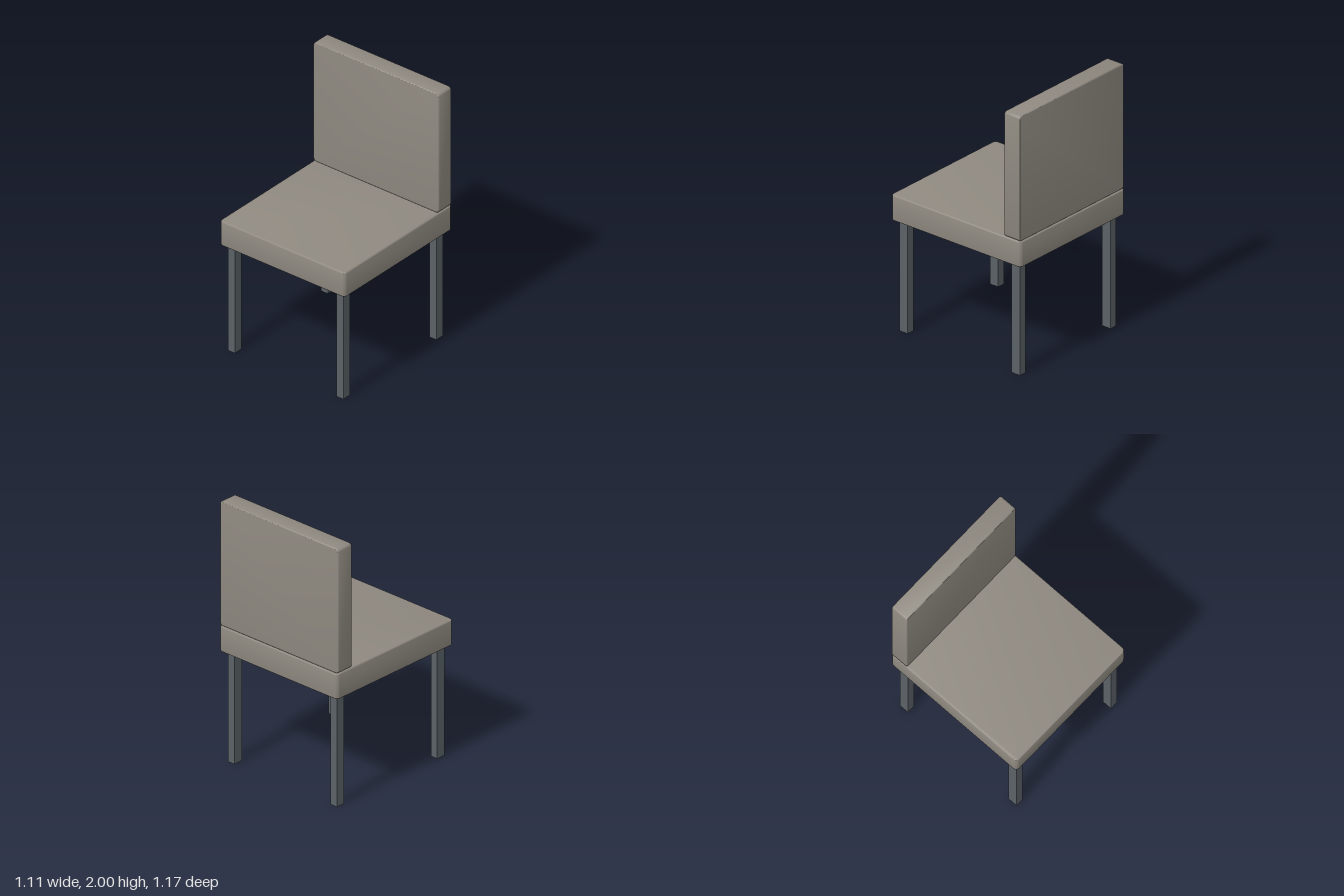
import * as THREE from 'three';
import { toCreasedNormals } from 'three/addons/utils/BufferGeometryUtils.js';

// Padded slab: rounded rectangle outline (w x h) with softened edges, thickness d along z
function slab(w, h, d, radius, bevel) {
  const x = w / 2 - radius, y = h / 2 - radius, r = radius - bevel;
  const shape = new THREE.Shape();
  [[x, y], [-x, y], [-x, -y], [x, -y]].forEach(([cx, cy], i) => {
    shape.absarc(cx, cy, r, i * Math.PI / 2, (i + 1) * Math.PI / 2, false);
  });
  shape.closePath();
  const geometry = new THREE.ExtrudeGeometry(shape, {
    depth: d - 2 * bevel, bevelThickness: bevel, bevelSize: bevel,
    bevelSegments: 3, curveSegments: 6,
  });
  geometry.center();
  return toCreasedNormals(geometry, 0.7);
}

export function createModel() {
  const chair = new THREE.Group();
  chair.name = 'chair';

  const upholstery = new THREE.MeshStandardMaterial({ color: 0x8f8980 });
  upholstery.name = 'taupe upholstery';
  const metal = new THREE.MeshStandardMaterial({ color: 0x5a6166 });
  metal.name = 'dark grey metal';

  const add = (name, geometry, material, x, y, z) => {
    const mesh = new THREE.Mesh(geometry, material);
    mesh.name = name;
    mesh.position.set(x, y, z);
    chair.add(mesh);
  };

  // Seat cushion, laid flat
  const seat = slab(1.11, 1.17, 0.195, 0.03, 0.01).rotateX(-Math.PI / 2);
  add('seat', seat, upholstery, 0, 0.9475, 0);

  // Upright back cushion, resting on the seat
  add('backrest', slab(1.11, 0.955, 0.14, 0.025, 0.008), upholstery, 0, 1.5225, -0.505);

  // Four straight legs
  const leg = new THREE.BoxGeometry(0.06, 0.86, 0.075);
  for (const [side, x] of [['Left', 0.48], ['Right', -0.48]]) {
    for (const [end, z] of [['front', 0.507], ['back', -0.503]]) {
      add(`${end}${side}Leg`, leg, metal, x, 0.43, z);
    }
  }

  return chair;
}
